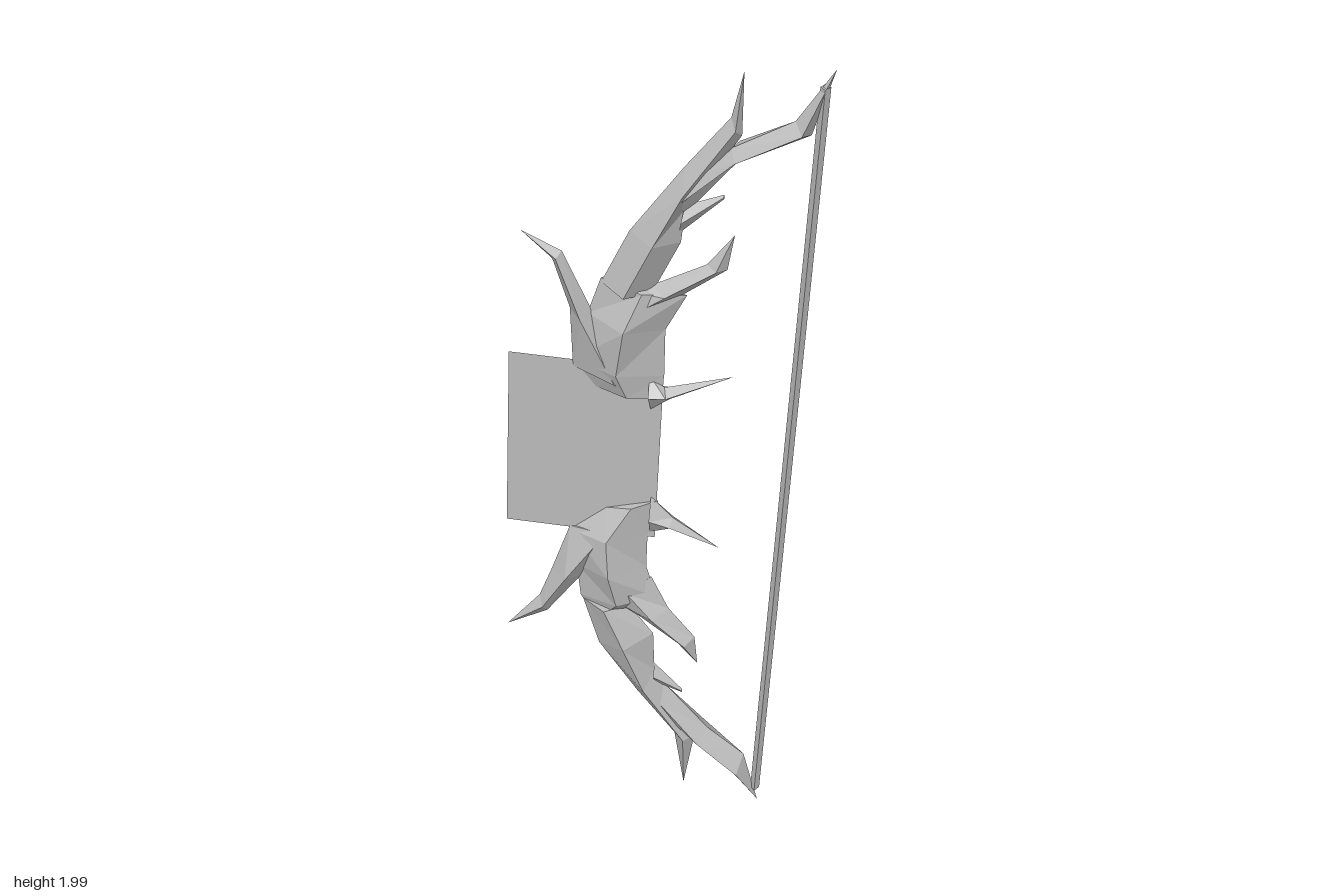
import * as THREE from 'three';

// The bow lies in a slanted plane; n is that plane's normal.
const planeZ = (x, y) => -0.004 - 0.42 * x + 0.047 * (y - 1);
const n = new THREE.Vector3(0.42, -0.047, 1).normalize();
const onPlane = (x, y, h = 0) =>
  new THREE.Vector3(x, y, planeZ(x, y)).addScaledVector(n, h);

// Faceted blade with diamond sections. Row: [x1, y1, x2, y2, half thickness]
function blade(rows) {
  const pos = [];
  const rings = rows.map(([x1, y1, x2, y2, h]) => {
    const mx = (x1 + x2) / 2, my = (y1 + y2) / 2;
    return [onPlane(x1, y1), onPlane(mx, my, h), onPlane(x2, y2), onPlane(mx, my, -h)];
  });
  const a = rows[0], b = rows[rows.length - 1];
  const dx = b[0] + b[2] - a[0] - a[2], dy = b[1] + b[3] - a[1] - a[3];
  const outward = (a[2] - a[0]) * dy - (a[3] - a[1]) * dx > 0;
  const tri = (p, q, r) => {
    for (const v of outward ? [p, q, r] : [p, r, q]) pos.push(v.x, v.y, v.z);
  };
  for (let i = 0; i < rings.length - 1; i++) {
    for (let j = 0; j < 4; j++) {
      const k = (j + 1) % 4, p = rings[i], q = rings[i + 1];
      tri(p[j], p[k], q[k]);
      tri(p[j], q[k], q[j]);
    }
  }
  const s = rings[0], e = rings[rings.length - 1];
  tri(s[0], s[2], s[1]); tri(s[0], s[3], s[2]);
  tri(e[0], e[1], e[2]); tri(e[0], e[2], e[3]);
  const g = new THREE.BufferGeometry();
  g.setAttribute('position', new THREE.Float32BufferAttribute(pos, 3));
  g.computeVertexNormals();
  return g;
}

const parts = {
  upperBody: [
    [-0.13, 1.2, 0, 1.18, 0.025], [-0.175, 1.27, 0.01, 1.24, 0.04],
    [-0.14, 1.39, 0.015, 1.36, 0.055], [-0.11, 1.48, 0.06, 1.45, 0.035],
    [-0.09, 1.49, 0, 1.46, 0.01]],
  upperHorn: [
    [-0.175, 1.25, 0, 1.2, 0.03], [-0.175, 1.4, -0.125, 1.38, 0.035],
    [-0.205, 1.52, -0.185, 1.54, 0.02], [-0.265, 1.585, -0.265, 1.585, 0]],
  upperLimb: [
    [-0.11, 1.47, -0.01, 1.45, 0.05], [-0.05, 1.6, 0.05, 1.58, 0.05],
    [0.06, 1.76, 0.06, 1.66, 0.04], [0.15, 1.88, 0.17, 1.84, 0.025],
    [0.175, 1.985, 0.175, 1.985, 0]],
  upperTip: [
    [0.04, 1.72, 0.06, 1.65, 0.03], [0.15, 1.81, 0.17, 1.79, 0.05],
    [0.27, 1.88, 0.3, 1.85, 0.04], [0.345, 2, 0.345, 2, 0]],
  upperThorn: [
    [0.06, 1.67, 0.045, 1.6, 0.02], [0.135, 1.7, 0.135, 1.69, 0.003]],
  upperBranch: [
    [-0.1, 1.46, -0.02, 1.34, 0.03], [-0.01, 1.47, 0.05, 1.45, 0.035],
    [0.1, 1.53, 0.14, 1.52, 0.025], [0.155, 1.605, 0.155, 1.605, 0]],
  upperSpike: [
    [-0.02, 1.24, -0.02, 1.15, 0.03], [0.01, 1.21, 0.02, 1.18, 0.025],
    [0.15, 1.25, 0.15, 1.25, 0]],
  lowerBody: [
    [-0.12, 0.87, -0.01, 0.9, 0.02], [-0.2, 0.8, -0.035, 0.8, 0.045],
    [-0.19, 0.7, -0.04, 0.71, 0.055], [-0.185, 0.61, -0.02, 0.62, 0.04],
    [-0.17, 0.58, -0.08, 0.58, 0.02]],
  lowerHorn: [
    [-0.2, 0.81, -0.04, 0.82, 0.03], [-0.245, 0.68, -0.18, 0.67, 0.035],
    [-0.275, 0.6, -0.26, 0.555, 0.02], [-0.35, 0.505, -0.35, 0.505, 0]],
  lowerLimb: [
    [-0.18, 0.6, -0.08, 0.59, 0.04], [-0.15, 0.47, -0.03, 0.51, 0.05],
    [-0.07, 0.33, -0.03, 0.4, 0.045], [0.01, 0.21, 0.055, 0.2, 0.03],
    [0.028, 0.045, 0.028, 0.045, 0]],
  lowerTip: [
    [-0.02, 0.27, -0.01, 0.36, 0.03], [0.05, 0.2, 0.085, 0.23, 0.05],
    [0.14, 0.09, 0.165, 0.155, 0.045], [0.195, 0.01, 0.195, 0.01, 0]],
  lowerThorn: [
    [-0.03, 0.36, -0.03, 0.42, 0.02], [0.03, 0.335, 0.03, 0.345, 0.003]],
  lowerBranch: [
    [-0.13, 0.61, -0.03, 0.68, 0.03], [-0.06, 0.56, 0.005, 0.59, 0.035],
    [0.02, 0.49, 0.06, 0.51, 0.03], [0.065, 0.43, 0.065, 0.43, 0]],
  lowerSpike: [
    [-0.03, 0.81, -0.025, 0.91, 0.03], [0.01, 0.83, 0.02, 0.855, 0.025],
    [0.115, 0.78, 0.115, 0.78, 0]],
  bowString: [
    [0.18, 0.05, 0.2, 0.05, 0.015], [0.315, 1.96, 0.335, 1.96, 0.015]],
};

// Flat sheet at the grip
function sheet(corners) {
  const p = corners.map(([x, y]) => onPlane(x, y));
  const g = new THREE.BufferGeometry().setFromPoints(p);
  g.setIndex([0, 1, 2, 0, 2, 3]);
  g.computeVertexNormals();
  return g;
}

export function createModel() {
  const group = new THREE.Group();
  group.name = 'bow';
  const grey = new THREE.MeshStandardMaterial({
    color: 0xbcbcbc, flatShading: true, side: THREE.DoubleSide,
  });
  grey.name = 'grey';
  const add = (name, geometry) => {
    const mesh = new THREE.Mesh(geometry, grey);
    mesh.name = name;
    group.add(mesh);
  };
  for (const [name, rows] of Object.entries(parts)) add(name, blade(rows));
  add('gripSheet', sheet([[-0.335, 0.815], [-0.02, 0.795], [0.01, 1.255], [-0.305, 1.275]]));
  return group;
}
